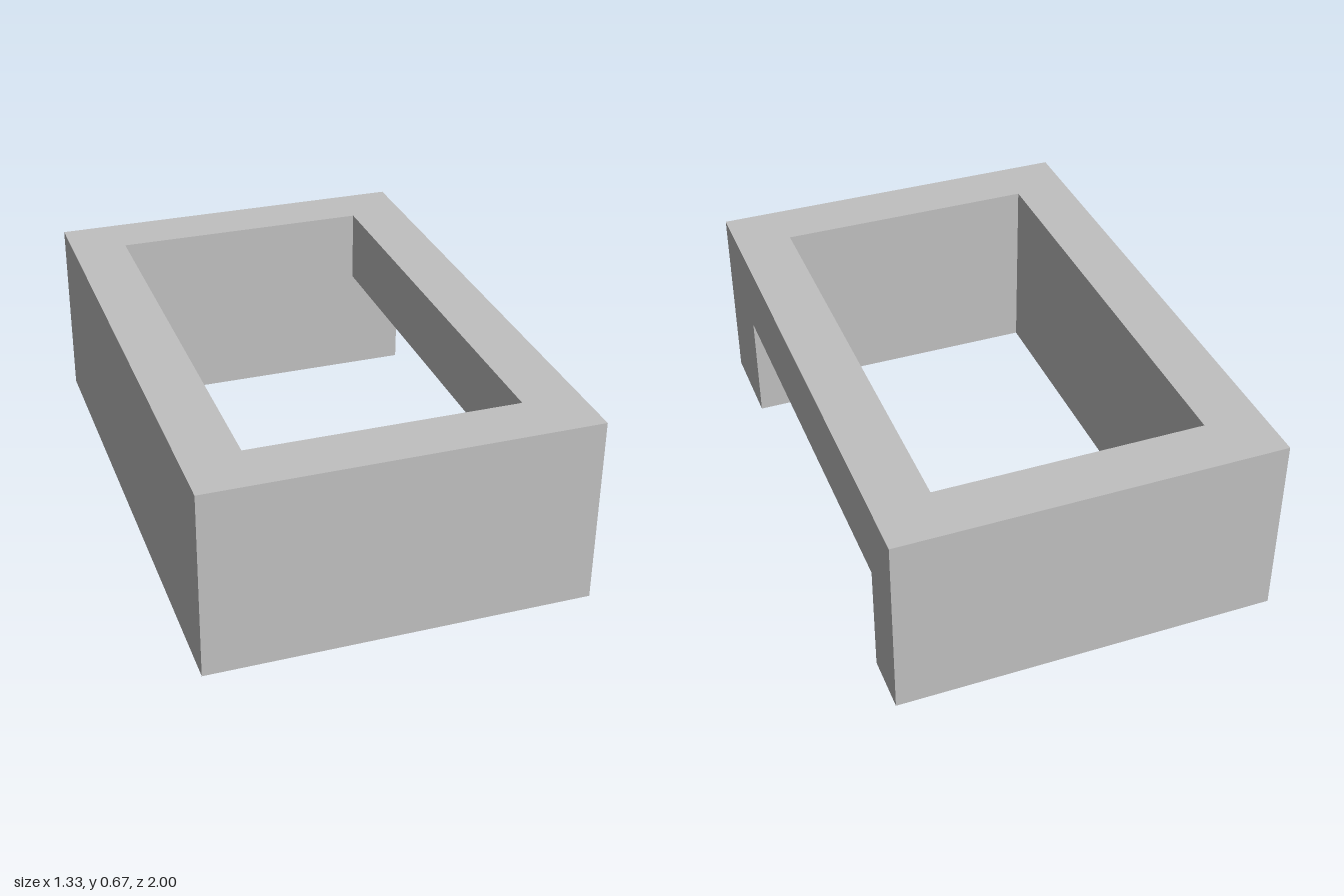
import * as THREE from 'three';

const W = 0.667, D = 1, H = 0.667; // half width, half depth, height
const IX = 0.467, IZ = 0.8;        // half size of the inner opening

const polygon = (points) => new THREE.Shape(points.map(([a, b]) => new THREE.Vector2(a, b)));

export function createModel() {
  const group = new THREE.Group();
  group.name = 'openFrame';
  const grey = new THREE.MeshStandardMaterial({ color: 0xc0c0c0 });
  grey.name = 'plain grey';

  const add = (name, geometry) => {
    const mesh = new THREE.Mesh(geometry, grey);
    mesh.name = name;
    group.add(mesh);
  };

  // Front, back and closed side wall: a C-shaped plan raised to full height
  const plan = polygon([
    [-W, -D], [W, -D], [W, -IZ], [-IX, -IZ],
    [-IX, IZ], [W, IZ], [W, D], [-W, D],
  ]);
  const walls = new THREE.ExtrudeGeometry(plan, { depth: H, bevelEnabled: false });
  walls.rotateX(-Math.PI / 2);
  add('closedWalls', walls);

  // Open side wall: a lintel with a short return at the front, profile in z and y
  const profile = polygon([
    [-IZ, 0.4], [0.667, 0.4], [0.667, 0], [IZ, 0], [IZ, H], [-IZ, H],
  ]);
  const lintel = new THREE.ExtrudeGeometry(profile, { depth: W - IX, bevelEnabled: false });
  lintel.rotateY(-Math.PI / 2).translate(W, 0, 0);
  add('openSideWall', lintel);

  return group;
}
